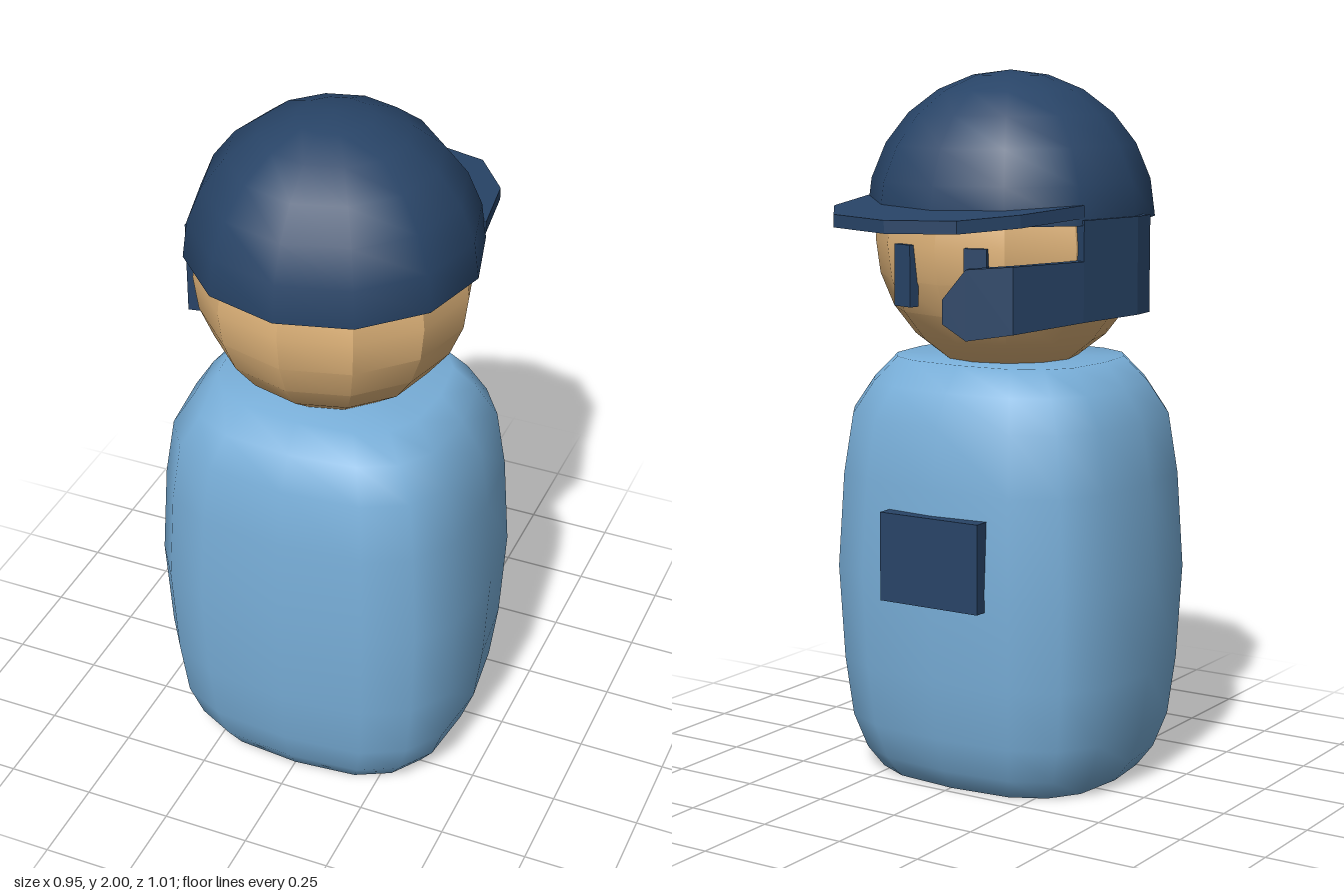
import * as THREE from 'three';
import { mergeVertices, toCreasedNormals } from 'three/addons/utils/BufferGeometryUtils.js';

const CZ = 0.09; // z of the body and head axis

function material(name, color) {
  const m = new THREE.MeshStandardMaterial({ color });
  m.name = name;
  return m;
}

function add(parent, name, geometry, mat, x = 0, y = 0, z = 0) {
  const mesh = new THREE.Mesh(geometry, mat);
  mesh.name = name;
  mesh.position.set(x, y, z);
  parent.add(mesh);
  return mesh;
}

// Lathe whose round section is pushed out to a soft square
function bodyGeometry() {
  const profile = [[0, 0], [0.355, 0], [0.4, 0.06], [0.438, 0.16], [0.46, 0.33], [0.475, 0.6],
    [0.458, 0.87], [0.432, 1.04], [0.375, 1.13], [0.31, 1.2], [0, 1.2]];
  const g = new THREE.LatheGeometry(profile.map(([r, y]) => new THREE.Vector2(r, y)), 16);
  const p = g.attributes.position;
  const soft = v => Math.sign(v) * Math.pow(Math.abs(v), 0.7);
  for (let i = 0; i < p.count; i++) {
    const r = Math.hypot(p.getX(i), p.getZ(i));
    if (r < 1e-6) continue;
    p.setX(i, r * soft(p.getX(i) / r));
    p.setZ(i, r * soft(p.getZ(i) / r) * 0.874);
  }
  g.deleteAttribute('uv');
  g.deleteAttribute('normal');
  const merged = mergeVertices(g, 1e-4);
  merged.computeVertexNormals();
  return merged;
}

// Upright curved plate: stations are [x, z, low y, high y], thickened towards the head
function wallGeometry(stations, thick) {
  const rings = stations.map(([x, z, lo, hi]) => {
    const d = Math.hypot(x, z - CZ);
    const ix = x - (x / d) * thick, iz = z - ((z - CZ) / d) * thick;
    return [[x, lo, z], [x, hi, z], [ix, hi, iz], [ix, lo, iz]];
  });
  const pos = [];
  const quad = (a, b, c, d) => [a, b, c, a, c, d].forEach(v => pos.push(...v));
  for (let i = 0; i + 1 < rings.length; i++) {
    for (let k = 0; k < 4; k++) {
      const n = (k + 1) % 4;
      quad(rings[i][k], rings[i][n], rings[i + 1][n], rings[i + 1][k]);
    }
  }
  const last = rings[rings.length - 1];
  quad(rings[0][3], rings[0][2], rings[0][1], rings[0][0]);
  quad(last[0], last[1], last[2], last[3]);
  const g = new THREE.BufferGeometry();
  g.setAttribute('position', new THREE.Float32BufferAttribute(pos, 3));
  g.computeVertexNormals();
  return g;
}

// Flat peak, tilted down towards its tip
function visorGeometry() {
  const outline = [[0.355, 0.1], [0.32, 0.31], [0.215, 0.455], [0.015, 0.505],
    [-0.18, 0.455], [-0.285, 0.31], [-0.355, 0.1]];
  const shape = new THREE.Shape(outline.map(([x, y]) => new THREE.Vector2(x, y)));
  const g = new THREE.ExtrudeGeometry(shape, { depth: 0.035, bevelEnabled: false });
  g.rotateX(-Math.PI / 2);
  const p = g.attributes.position;
  for (let i = 0; i < p.count; i++) p.setY(i, p.getY(i) + 1.615 + (p.getZ(i) + 0.1) * 0.07);
  g.computeVertexNormals();
  return g;
}

export function createModel() {
  const group = new THREE.Group();
  group.name = 'helmetedFigure';
  const shirt = material('lightBlue', 0x78aed8);
  const skin = material('skin', 0xe0b47a);
  const navy = material('navy', 0x284467);
  const plate = navy.clone();
  plate.side = THREE.DoubleSide;

  // Body and head
  add(group, 'body', bodyGeometry(), shirt, 0, 0, CZ);
  add(group, 'head', toCreasedNormals(new THREE.SphereGeometry(0.382, 12, 12), 0.49), skin, 0, 1.53, CZ);

  // Helmet: dome with a closed rim, peak, ear flap and jaw guard
  const helmet = new THREE.Group();
  helmet.name = 'helmet';
  group.add(helmet);
  add(helmet, 'dome', new THREE.SphereGeometry(0.406, 12, 6, 0, Math.PI * 2, 0, Math.PI / 2), navy, 0, 1.595, CZ);
  const rim = new THREE.CircleGeometry(0.406, 12);
  rim.rotateX(Math.PI / 2);
  add(helmet, 'rim', rim, navy, 0, 1.595, CZ);
  add(helmet, 'visor', visorGeometry(), navy);
  add(helmet, 'earFlap', wallGeometry([
    [-0.408, 0.165, 1.34, 1.61], [-0.412, 0.09, 1.34, 1.61], [-0.36, -0.11, 1.335, 1.61],
  ], 0.045), plate);
  add(helmet, 'jawGuard', wallGeometry([
    [-0.36, -0.11, 1.335, 1.5], [-0.275, -0.33, 1.32, 1.5],
    [-0.155, -0.375, 1.3, 1.49], [-0.1, -0.405, 1.345, 1.41],
  ], 0.035), plate);

  // Eyes, lying on the two facets beside the nose line
  for (const s of [-1, 1]) {
    const eye = add(group, s > 0 ? 'leftEye' : 'rightEye',
      new THREE.BoxGeometry(0.065, 0.17, 0.03), navy, s * 0.115, 1.45, -0.26);
    eye.rotation.y = -s * 0.26;
  }

  // Chest patch
  add(group, 'chestPatch', new THREE.BoxGeometry(0.32, 0.25, 0.05), navy, -0.01, 0.675, -0.32);
  return group;
}
